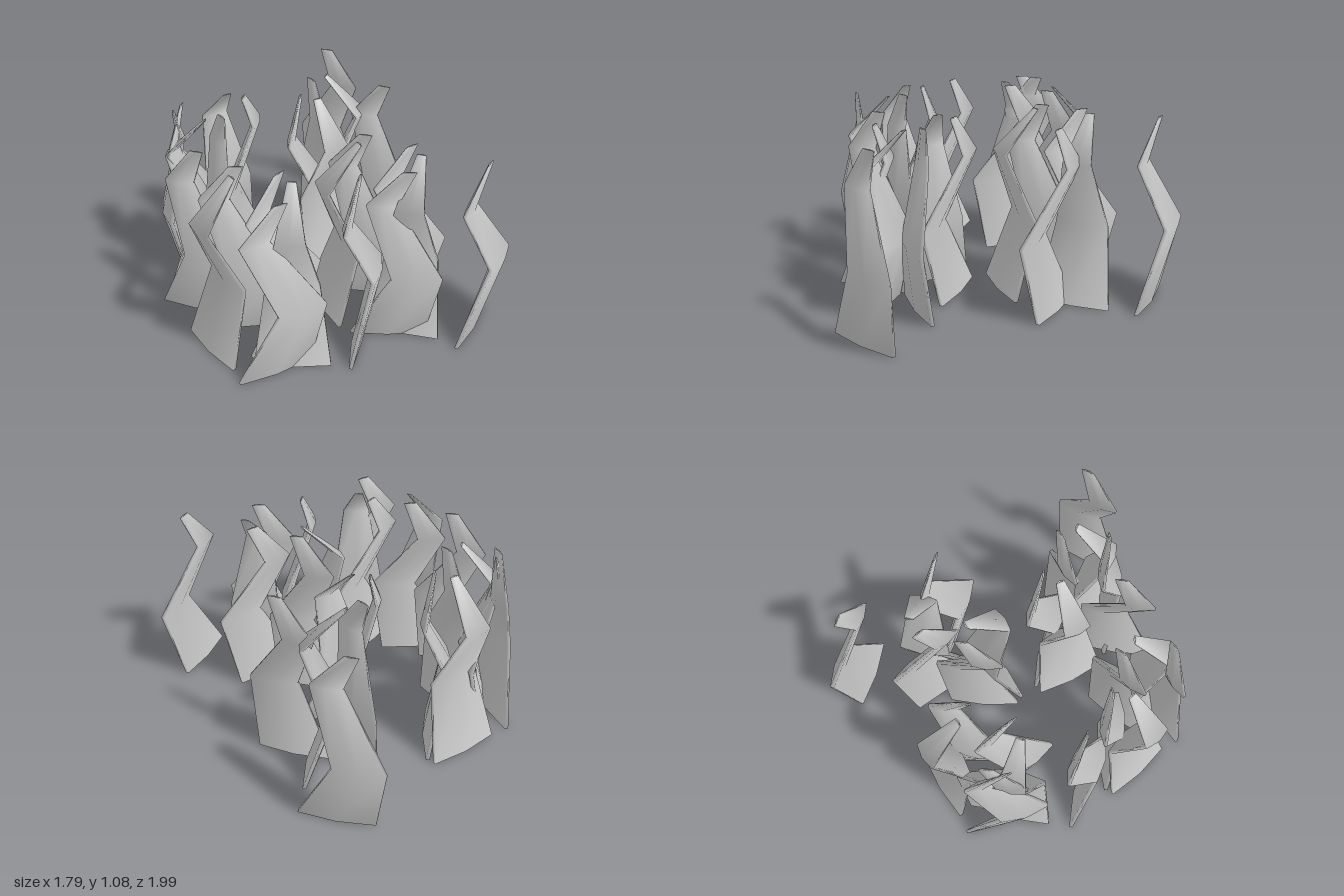
import * as THREE from 'three';

// A blade lofted through thin lens sections: [y, centre x, centre z, half width, half thickness]
function bladeGeometry(levels) {
  const pos = [], index = [], n = 6;
  for (const [y, cx, cz, w, t] of levels) {
    const e = t * 0.35;
    for (const [x, z] of [[-w, e], [0, t], [w, e], [w, -e], [0, -t], [-w, -e]]) pos.push(cx + x, y, cz + z);
  }
  for (let l = 0; l < levels.length - 1; l++) {
    for (let i = 0; i < n; i++) {
      const a = l * n + i, b = l * n + (i + 1) % n;
      index.push(a, b, b + n, a, b + n, a + n);
    }
  }
  // end caps
  const top = (levels.length - 1) * n;
  for (let i = 1; i < n - 1; i++) {
    index.push(0, i + 1, i);
    index.push(top, top + i, top + i + 1);
  }
  const g = new THREE.BufferGeometry();
  g.setAttribute('position', new THREE.Float32BufferAttribute(pos, 3));
  g.setIndex(index);
  g.computeVertexNormals();
  return g;
}

export function createModel() {
  const group = new THREE.Group();
  group.name = 'grassPatch';
  const material = new THREE.MeshStandardMaterial({ color: 0xcccccc });

  // Swaying blade: origin at one foot corner, waves sideways along +x
  const swaying = bladeGeometry([
    [0, 0.215, 0, 0.215, 0.03],
    [0.45, 0.35, 0.08, 0.14, 0.035],
    [0.85, 0.153, -0.06, 0.085, 0.025],
    [1.08, 0.285, -0.02, 0.038, 0.01],
  ]);
  // Bowing blade: origin at the foot centre, waves forward and back along z
  const bowing = bladeGeometry([
    [0, 0, 0, 0.215, 0.03],
    [0.45, 0, 0.14, 0.15, 0.035],
    [0.85, 0, -0.02, 0.08, 0.025],
    [1.08, 0, 0.2, 0.025, 0.01],
  ]);

  function add(name, geometry, x, z, angle, parent) {
    const mesh = new THREE.Mesh(geometry, material);
    mesh.name = name;
    mesh.position.set(x, 0, z);
    mesh.rotation.y = -angle; // angle measured from +x towards +z
    parent.add(mesh);
  }
  // Place a swaying blade by its foot corner and its widest reach
  function addSwaying(x0, z0, x1, z1, parent) {
    const lean = Math.atan2(0.08, 0.49);
    add('swayingBlade', swaying, x0, z0, Math.atan2(z1 - z0, x1 - x0) - lean, parent);
  }

  // Tufts of one bowing and one swaying blade: x, z, turn in degrees
  const tufts = [
    [-0.85, 0.10, 0], [-0.115, 0.215, 15], [0.205, -0.08, -82], [-0.11, -0.86, 100],
    [-0.54, -0.65, 56], [0.59, -0.32, 233], [0.09, 0.67, -32], [-0.57, 0.48, -48.6],
  ];
  for (const [x, z, turn] of tufts) {
    const tuft = new THREE.Group();
    tuft.name = 'tuft';
    tuft.position.set(x, 0, z);
    tuft.rotation.y = -THREE.MathUtils.degToRad(turn);
    add('bowingBlade', bowing, 0, 0, -Math.PI / 2, tuft);
    addSwaying(0.04, -0.23, 0.37, 0.13, tuft);
    group.add(tuft);
  }

  // Single blades: foot corner x, z, then widest reach x, z
  const singles = [
    [0.22, 0.98, 0.70, 0.875], [0.89, -0.54, 0.70, -0.98], [-0.89, 0.42, -0.44, 0.59],
    [-0.15, 0.49, 0.175, 0.845], [-0.35, 0.72, 0.04, 0.49], [-0.83, -0.45, -0.62, -0.01],
    [0.49, -0.38, 0.66, 0.08], [-0.42, -0.94, -0.68, -0.53], [-0.62, -0.51, -0.23, -0.78],
  ];
  for (const s of singles) addSwaying(...s, group);

  return group;
}
